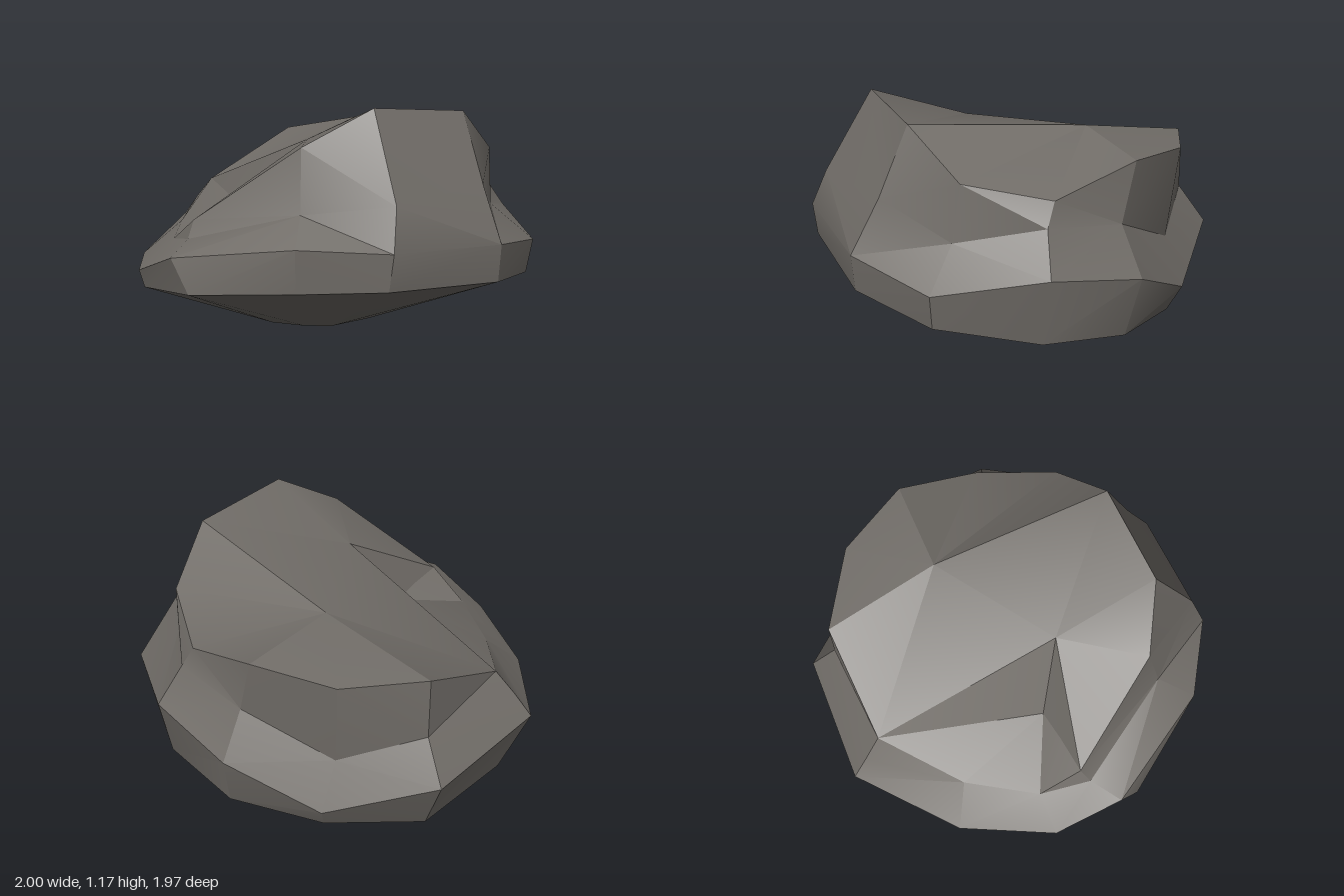
import * as THREE from 'three';
import { toCreasedNormals } from 'three/addons/utils/BufferGeometryUtils.js';

// Each row is one column of the boulder, counterclockwise from the front:
// lower edge, widest edge, ledge, top rim (x, y, z each)
const columns = [
  [[-0.13, 0.40, 0.96], [-0.13, 0.60, 0.98], [-0.12, 0.71, 0.78], [-0.12, 1.00, 0.70]],
  [[0.27, 0.41, 0.95], [0.29, 0.58, 0.96], [0.30, 0.77, 0.87], [0.20, 1.17, 0.65]],
  [[0.78, 0.36, 0.57], [0.79, 0.54, 0.58], [0.71, 0.80, 0.46], [0.62, 1.13, 0.34]],
  [[0.97, 0.30, 0.15], [1.00, 0.47, 0.15], [0.79, 0.64, 0.10], [0.78, 0.92, 0.06]],
  [[0.87, 0.22, -0.33], [0.91, 0.55, -0.37], [0.78, 0.74, -0.33], [0.72, 0.85, -0.35]],
  [[0.61, 0.17, -0.67], [0.63, 0.47, -0.74], [0.53, 0.69, -0.63], [0.48, 0.98, -0.68]],
  [[0.18, 0.11, -0.84], [0.20, 0.25, -0.91], [0.12, 0.48, -0.81], [0.12, 0.94, -0.86]],
  [[-0.32, 0.03, -0.83], [-0.34, 0.40, -0.99], [-0.30, 0.60, -0.85], [-0.30, 0.91, -0.83]],
  [[-0.78, 0.03, -0.50], [-0.88, 0.44, -0.60], [-0.80, 0.55, -0.55], [-0.71, 0.66, -0.50]],
  [[-0.95, 0.20, -0.08], [-1.00, 0.34, -0.03], [-0.80, 0.51, -0.05], [-0.39, 0.60, 0.26]],
  [[-0.90, 0.28, 0.43], [-0.92, 0.37, 0.45], [-0.77, 0.50, 0.33], [-0.50, 0.62, 0.37]],
  [[-0.62, 0.35, 0.81], [-0.71, 0.50, 0.73], [-0.66, 0.55, 0.56], [-0.64, 0.63, 0.50]],
];
const plateauBack = [0.10, 1.02, -0.40];
const plateauLeft = [-0.12, 0.98, 0.25];
const baseCentre = [-0.10, 0, -0.20];

function boulderGeometry() {
  const positions = [];
  const tri = (a, b, c) => positions.push(...a, ...b, ...c);
  const distance = (a, b) => Math.hypot(a[0] - b[0], a[1] - b[1], a[2] - b[2]);
  // Quad split along its shorter diagonal
  const quad = (a, b, c, d) => {
    if (distance(a, c) < distance(b, d)) { tri(a, b, c); tri(a, c, d); }
    else { tri(a, b, d); tri(b, c, d); }
  };

  // Flat resting patch, a shrunken copy of the lower edge
  const rings = columns.map((column) => {
    const [x, , z] = column[0];
    return [[x * 0.35 + baseCentre[0], 0, z * 0.35 + baseCentre[2]], ...column];
  });

  // Underside and walls
  rings.forEach((column, i) => {
    const next = rings[(i + 1) % rings.length];
    tri(baseCentre, next[0], column[0]);
    for (let j = 0; j < column.length - 1; j++) {
      quad(column[j], next[j], next[j + 1], column[j + 1]);
    }
  });

  // Sloping top: a diagonal band with a fan on each side, the left one sunken
  const rim = columns.map((column) => column[3]);
  for (let i = 2; i < 7; i++) tri(plateauBack, rim[i], rim[i + 1]);
  for (let i = 8; i <= 12; i++) tri(plateauLeft, rim[i % 12], rim[(i + 1) % 12]);
  quad(plateauLeft, rim[1], rim[2], plateauBack);
  quad(plateauLeft, plateauBack, rim[7], rim[8]);

  const geometry = new THREE.BufferGeometry();
  geometry.setAttribute('position', new THREE.Float32BufferAttribute(positions, 3));
  return toCreasedNormals(geometry, 0.45);
}

export function createModel() {
  const group = new THREE.Group();
  group.name = 'rock';
  const stone = new THREE.MeshStandardMaterial({ color: 0x716d68 });
  stone.name = 'grey stone';
  const boulder = new THREE.Mesh(boulderGeometry(), stone);
  boulder.name = 'boulder';
  group.add(boulder);
  return group;
}
